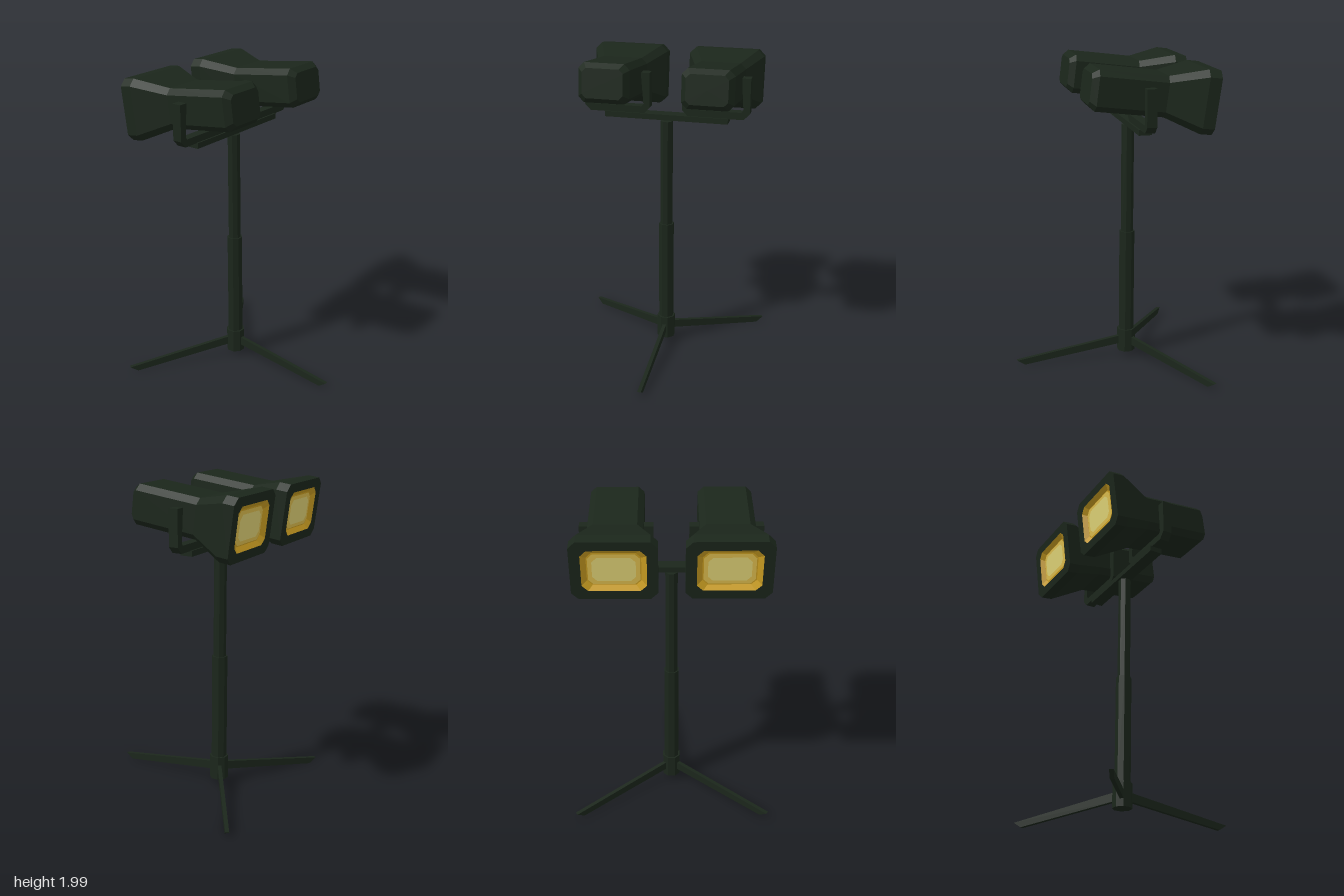
import * as THREE from 'three';

const mat = (name, color) => {
  const m = new THREE.MeshStandardMaterial({ color, flatShading: true });
  m.name = name;
  return m;
};

// Lofts chamfered-rectangle rings [z, halfWidth, halfHeight, chamfer]
function loft(rings) {
  const pts = rings.map(([z, w, h, c]) => [
    [w, -h + c], [w, h - c], [w - c, h], [-w + c, h],
    [-w, h - c], [-w, -h + c], [-w + c, -h], [w - c, -h],
  ].map(([x, y]) => [x, y, z]));
  const pos = [];
  for (let j = 0; j < pts.length - 1; j++) {
    for (let k = 0; k < 8; k++) {
      const n = (k + 1) % 8;
      const p = pts[j][k], q = pts[j][n], r = pts[j + 1][n], s = pts[j + 1][k];
      pos.push(...p, ...q, ...r, ...p, ...r, ...s);
    }
  }
  const g = new THREE.BufferGeometry();
  g.setAttribute('position', new THREE.Float32BufferAttribute(pos, 3));
  g.computeVertexNormals();
  return g;
}

// Extrudes an outline, centred on its depth
function slab(points, depth) {
  const shape = new THREE.Shape(points.map(([x, y]) => new THREE.Vector2(x, y)));
  return new THREE.ExtrudeGeometry(shape, { depth, bevelEnabled: false }).translate(0, 0, -depth / 2);
}

export function createModel() {
  const green = mat('dark green metal', 0x1b261b);
  const gold = mat('gold reflector', 0xcc9f22);
  const amber = mat('amber glass', 0xe0c050);
  const khaki = mat('pale lamp glass', 0xe3d678);

  const model = new THREE.Group();
  model.name = 'floodlightStand';
  const add = (parent, name, geo, m) => {
    const mesh = new THREE.Mesh(geo, m);
    mesh.name = name;
    parent.add(mesh);
    return mesh;
  };

  const poleZ = -0.16;

  // Octagonal telescopic pole and hub
  const tube = (name, r, y0, y1) => {
    const g = new THREE.CylinderGeometry(r, r, y1 - y0, 8).rotateY(Math.PI / 8);
    add(model, name, g, green).position.set(0, (y0 + y1) / 2, poleZ);
  };
  tube('hub', 0.06, 0.045, 0.2);
  tube('lowerPole', 0.049, 0.19, 0.885);
  tube('upperPole', 0.04, 0.88, 1.585);

  // Three splayed legs with slanted feet
  const legGeo = slab([[0.03, 0.095], [0.69, 0.008], [0.74, 0.042], [0.03, 0.15]], 0.024);
  for (const angle of [0, 124, -124]) {
    const leg = add(model, 'leg', legGeo, green);
    leg.position.z = poleZ;
    leg.rotation.y = THREE.MathUtils.degToRad(angle - 90);
  }

  // Crossbar
  add(model, 'crossbar', new THREE.BoxGeometry(0.79, 0.035, 0.08), green).position.set(0, 1.615, poleZ);

  // U-shaped yoke and tilted lamp on each side
  const yokeGeo = slab([
    [-0.175, 1.63], [0.175, 1.63], [0.213, 1.67], [0.213, 1.89], [0.157, 1.89], [0.172, 1.69],
    [0.16, 1.675], [-0.16, 1.675], [-0.172, 1.69], [-0.157, 1.89], [-0.213, 1.89], [-0.213, 1.67],
  ], 0.06);
  const housingGeo = loft([
    [0, 0.18, 0.132, 0.035], [0, 0.241, 0.187, 0.04], [0.073, 0.241, 0.187, 0.04],
    [0.28, 0.159, 0.12, 0.035], [0.69, 0.159, 0.12, 0.035], [0.727, 0.127, 0.09, 0.025],
    [0.727, 0, 0, 0],
  ]);
  const reflectorGeo = loft([[0.022, 0, 0, 0], [0.022, 0.15, 0.105, 0.03], [0, 0.18, 0.132, 0.035]]);
  const pane = (z, w, h) => loft([[z, 0, 0, 0], [z, w, h, 0.028]]);

  for (const side of [-1, 1]) {
    const x = side * 0.316;
    add(model, 'yoke', yokeGeo, green).position.set(x, 0, poleZ);

    const lamp = new THREE.Group();
    lamp.name = 'lamp';
    lamp.position.set(x, 1.793, -0.545);
    lamp.rotation.x = -0.126;
    add(lamp, 'housing', housingGeo, green);
    add(lamp, 'reflector', reflectorGeo, gold);
    add(lamp, 'outerGlass', pane(0.019, 0.143, 0.098), amber);
    add(lamp, 'innerGlass', pane(0.016, 0.12, 0.076), khaki);
    model.add(lamp);
  }
  return model;
}
